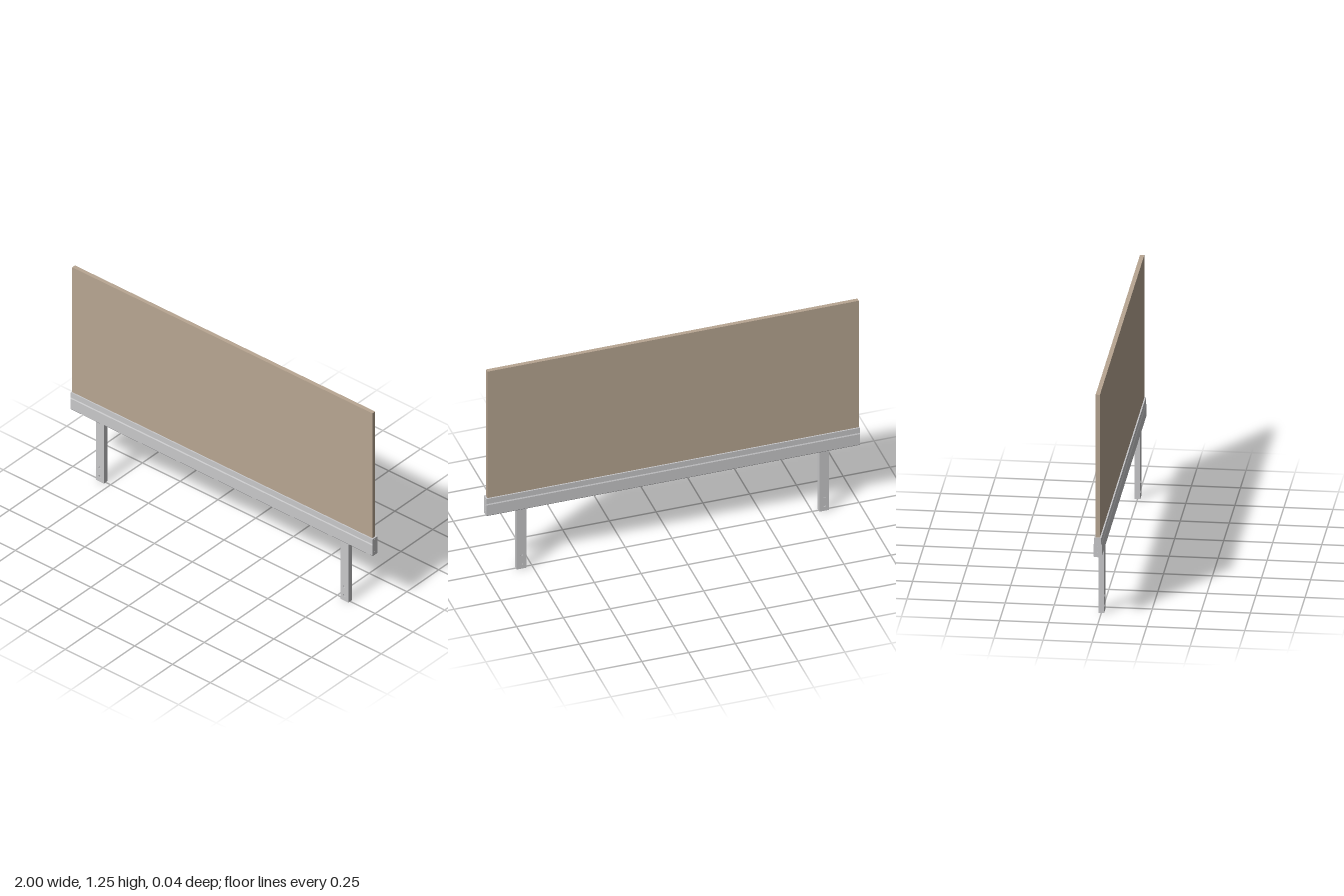
import * as THREE from 'three';

export function createModel() {
  const group = new THREE.Group();
  const panelMat = new THREE.MeshStandardMaterial({ color: 0xb8a692 });
  panelMat.name = 'tan panel';
  const metalMat = new THREE.MeshStandardMaterial({ color: 0xc8c8ca });
  metalMat.name = 'light grey metal';

  const add = (parent, name, geometry, material, x = 0, y = 0, z = 0) => {
    const mesh = new THREE.Mesh(geometry, material);
    mesh.name = name;
    mesh.position.set(x, y, z);
    parent.add(mesh);
    return mesh;
  };

  // Upright panel, its foot clamped in the rail
  add(group, 'panel', new THREE.BoxGeometry(1.986, 0.845, 0.022), panelMat, -0.002, 0.8225, 0);

  // Rail cross-section: wide below, stepped in towards the top
  const half = [[0.017, 0.365], [0.021, 0.37], [0.021, 0.433], [0.018, 0.439], [0.018, 0.47]];
  const railShape = new THREE.Shape([
    ...half.map(([z, y]) => new THREE.Vector2(z, y)),
    ...half.slice().reverse().map(([z, y]) => new THREE.Vector2(-z, y)),
  ]);
  const railPiece = (name, length, x) => {
    const geo = new THREE.ExtrudeGeometry(railShape, { depth: length, bevelEnabled: false });
    geo.translate(0, 0, -length / 2).rotateY(Math.PI / 2);
    return add(group, name, geo, metalMat, x);
  };
  railPiece('rail', 1.988, 0);

  // End caps with their screws
  for (const side of [-1, 1]) {
    railPiece('endCap', 0.005, side * 0.9965);
    for (const y of [0.385, 0.42, 0.455]) {
      const screw = new THREE.CylinderGeometry(0.005, 0.005, 0.002, 12).rotateZ(Math.PI / 2);
      add(group, 'capScrew', screw, metalMat, side * 0.999, y, 0);
    }
  }

  // Small screw heads along the underside
  for (let i = -2; i <= 2; i++) {
    add(group, 'railScrew', new THREE.CylinderGeometry(0.006, 0.006, 0.004, 12), metalMat, i * 0.28, 0.364, 0);
  }

  // Hollow legs: drilled front and back walls, plain side walls, open foot
  const wall = 0.003, width = 0.052, depth = 0.028, height = 0.37;
  const face = new THREE.Shape([
    new THREE.Vector2(-width / 2, 0), new THREE.Vector2(width / 2, 0),
    new THREE.Vector2(width / 2, height), new THREE.Vector2(-width / 2, height),
  ]);
  for (const y of [0.032, 0.087]) {
    face.holes.push(new THREE.Path().absarc(0, y, 0.008, 0, Math.PI * 2, true));
  }
  for (const side of [-1, 1]) {
    const leg = new THREE.Group();
    leg.name = 'leg';
    leg.position.x = side * 0.809;
    group.add(leg);
    for (const z of [-depth / 2, depth / 2 - wall]) {
      const geo = new THREE.ExtrudeGeometry(face, { depth: wall, bevelEnabled: false, curveSegments: 16 });
      add(leg, 'drilledWall', geo, metalMat, 0, 0, z);
    }
    for (const s of [-1, 1]) {
      const geo = new THREE.BoxGeometry(wall, height, depth - 2 * wall);
      add(leg, 'sideWall', geo, metalMat, s * (width - wall) / 2, height / 2, 0);
    }
  }
  return group;
}
